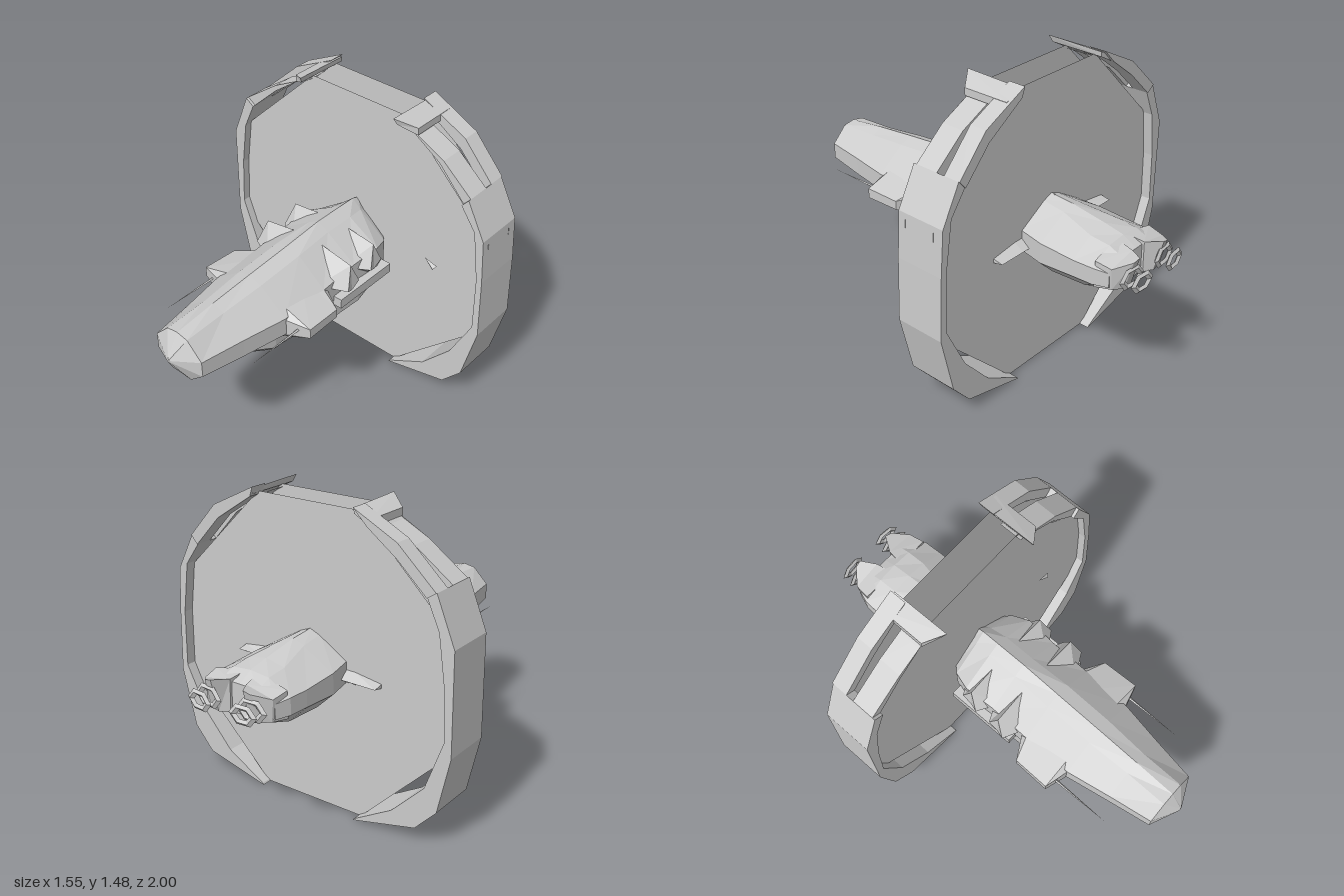
import * as THREE from 'three';

const grey = new THREE.MeshStandardMaterial({ color: 0xcccccc, flatShading: true, side: THREE.DoubleSide });

function add(parent, name, geometry, x = 0, y = 0, z = 0) {
  const mesh = new THREE.Mesh(geometry, grey);
  mesh.name = name;
  mesh.position.set(x, y, z);
  parent.add(mesh);
  return mesh;
}

// Skin a row of equal-sized point loops and close both ends.
function loft(loops) {
  const n = loops[0].length;
  const index = [];
  for (let s = 0; s < loops.length - 1; s++) {
    for (let i = 0; i < n; i++) {
      const a = s * n + i, b = s * n + (i + 1) % n;
      index.push(a, b, a + n, b, b + n, a + n);
    }
  }
  const last = (loops.length - 1) * n;
  for (let i = 1; i < n - 1; i++) index.push(0, i + 1, i, last, last + i, last + i + 1);
  const geo = new THREE.BufferGeometry();
  geo.setAttribute('position', new THREE.Float32BufferAttribute(loops.flat(2), 3));
  geo.setIndex(index);
  const flat = geo.toNonIndexed();
  flat.computeVertexNormals();
  return flat;
}

// Mirrored hull section: z, top, roof half width and height,
// side half width with its upper and lower heights, floor half width, bottom.
function section([z, top, rw, ry, w, y1, y2, bw, bottom]) {
  const right = [[rw, ry], [w, y1], [w, y2], [bw, bottom]];
  return [
    [0, top, z], ...right.map(([x, y]) => [x, y, z]),
    ...right.reverse().map(([x, y]) => [-x, y, z]),
  ];
}
const hull = (rows) => loft(rows.map(section));

// Curved beam of the ring: stations are outer x, y and inner x, y.
function beam(stations, side, back, front) {
  return loft(stations.map(([ox, oy, ix, iy]) => [
    [side * ox, oy, back], [side * ox, oy, front],
    [side * ix, iy, front], [side * ix, iy, back],
  ]));
}

export function createModel() {
  const model = new THREE.Group();

  // Two octagonal membranes stretched across the ring
  const octagon = new THREE.Shape([
    [-0.28, 0.005], [0.28, 0.005], [0.755, 0.47], [0.755, 0.99],
    [0.28, 1.455], [-0.28, 1.455], [-0.755, 0.99], [-0.755, 0.47],
  ].map(([x, y]) => new THREE.Vector2(x, y)));
  add(model, 'frontMembrane', new THREE.ShapeGeometry(octagon), 0, 0, -0.24);
  add(model, 'rearMembrane', new THREE.ShapeGeometry(octagon), 0, 0, -0.4);

  // Forward hull
  add(model, 'forwardHull', hull([
    [1.0, 0.715, 0.006, 0.71, 0.008, 0.705, 0.70, 0.004, 0.695],
    [0.935, 0.82, 0.06, 0.81, 0.14, 0.73, 0.65, 0.06, 0.58],
    [0.72, 0.845, 0.06, 0.82, 0.175, 0.73, 0.64, 0.08, 0.60],
    [0.5, 0.865, 0.07, 0.84, 0.215, 0.73, 0.64, 0.1, 0.58],
    [0.25, 0.885, 0.07, 0.86, 0.22, 0.74, 0.64, 0.13, 0.56],
    [0.04, 0.905, 0.06, 0.87, 0.22, 0.76, 0.62, 0.16, 0.55],
    [-0.12, 0.905, 0.06, 0.87, 0.23, 0.77, 0.62, 0.16, 0.55],
    [-0.21, 0.905, 0.05, 0.86, 0.2, 0.75, 0.62, 0.14, 0.55],
    [-0.25, 0.89, 0.04, 0.84, 0.16, 0.74, 0.62, 0.12, 0.56],
  ]));

  // Belly keel and the chin fin in front of it
  add(model, 'keel', hull([
    [0.29, 0.62, 0.1, 0.61, 0.15, 0.6, 0.54, 0.09, 0.5],
    [0.23, 0.63, 0.12, 0.62, 0.21, 0.6, 0.52, 0.13, 0.45],
    [0.0, 0.63, 0.12, 0.62, 0.22, 0.6, 0.52, 0.12, 0.44],
    [-0.13, 0.63, 0.12, 0.62, 0.2, 0.6, 0.54, 0.12, 0.455],
    [-0.24, 0.63, 0.12, 0.62, 0.17, 0.6, 0.54, 0.1, 0.48],
  ]));
  add(model, 'chinFin', hull([
    [0.76, 0.62, 0.04, 0.61, 0.05, 0.6, 0.595, 0.04, 0.585],
    [0.45, 0.61, 0.1, 0.6, 0.1, 0.58, 0.45, 0.07, 0.42],
    [0.28, 0.6, 0.11, 0.59, 0.09, 0.55, 0.44, 0.08, 0.408],
    [0.36, 0.6, 0.09, 0.59, 0.06, 0.56, 0.52, 0.04, 0.5],
  ]));

  // Neck between the membranes
  add(model, 'neck', hull([
    [-0.2, 0.89, 0.04, 0.85, 0.17, 0.74, 0.64, 0.1, 0.58],
    [-0.3, 0.88, 0.03, 0.84, 0.09, 0.74, 0.65, 0.08, 0.6],
    [-0.42, 0.87, 0.05, 0.84, 0.18, 0.74, 0.64, 0.1, 0.6],
  ]));

  // Tail hull with a thin cross wing against the rear membrane
  add(model, 'tailHull', hull([
    [-0.39, 0.87, 0.05, 0.85, 0.2, 0.76, 0.66, 0.12, 0.62],
    [-0.52, 0.86, 0.06, 0.84, 0.22, 0.75, 0.65, 0.13, 0.565],
    [-0.7, 0.83, 0.1, 0.81, 0.22, 0.74, 0.66, 0.12, 0.565],
    [-0.8, 0.81, 0.1, 0.8, 0.215, 0.74, 0.66, 0.12, 0.6],
    [-0.87, 0.77, 0.1, 0.77, 0.19, 0.73, 0.66, 0.1, 0.63],
  ]));
  add(model, 'tailWing', loft([[-0.39, 0.01], [-0.25, 0.03], [0.25, 0.03], [0.39, 0.01]].map(([x, h]) => [
    [x, 0.69 + h, -0.4], [x, 0.69, -0.45], [x, 0.69 - h, -0.4],
  ])));

  for (const s of [-1, 1]) {
    const side = new THREE.Group();
    side.name = s > 0 ? 'leftHullParts' : 'rightHullParts';
    model.add(side);

    // Swept stub wing along the flank
    add(side, 'stubWing', loft([
      [0.5, 0.2, 0.72, 0.63], [0.465, 0.33, 0.71, 0.66],
      [0.28, 0.325, 0.705, 0.66], [0.21, 0.2, 0.72, 0.62],
    ].map(([z, x, top, low]) => [
      [s * 0.1, 0.78, z], [s * x, top, z], [s * x, low, z], [s * 0.1, 0.57, z],
    ])));
    // Needle gun
    const gun = add(side, 'needleGun', new THREE.ConeGeometry(0.007, 0.3, 4), s * 0.27, 0.685, 0.62);
    gun.rotation.x = Math.PI / 2;

    // Faceted side blisters
    for (const [z, x, y] of [[0.11, 0.29, 0.76], [-0.07, 0.275, 0.77]]) {
      add(side, 'sideBlister', loft([
        [[s * 0.08, 0.85, z], [s * 0.16, 0.72, z + 0.12], [s * 0.2, 0.64, z], [s * 0.16, 0.72, z - 0.1]],
        [[s * (x - 0.03), y + 0.06, z], [s * x, y - 0.05, z + 0.05], [s * (x - 0.02), y - 0.08, z], [s * (x - 0.02), y - 0.05, z - 0.05]],
      ]));
    }
    // Lower side ledge
    add(side, 'sideLedge', new THREE.BoxGeometry(0.1, 0.05, 0.36), s * 0.215, 0.635, 0.0);

    // Forked tail prong
    add(side, 'tailProng', loft([
      [[s * 0.03, 0.8, -0.78], [s * 0.2, 0.77, -0.8], [s * 0.2, 0.64, -0.8], [s * 0.03, 0.61, -0.78]],
      [[s * 0.045, 0.785, -0.88], [s * 0.19, 0.755, -0.88], [s * 0.18, 0.65, -0.88], [s * 0.05, 0.63, -0.88]],
      [[s * 0.09, 0.795, -0.95], [s * 0.125, 0.785, -0.945], [s * 0.13, 0.645, -0.91], [s * 0.09, 0.635, -0.91]],
    ]));
    // Pair of floating exhaust rings
    for (const [z, r] of [[-0.935, 0.06], [-0.988, 0.052]]) {
      const ring = add(side, 'exhaustRing', new THREE.TorusGeometry(r, 0.02, 4, 6), s * 0.12, 0.708, z);
      ring.scale.set(1, 0.72, 0.5);
      ring.rotation.y = -s * 0.08;
    }

    // Half of the ring: solid side, split upper rails
    const half = new THREE.Group();
    half.name = s > 0 ? 'leftRingHalf' : 'rightRingHalf';
    model.add(half);
    const top = s > 0
      ? [[0.265, 1.485, 0.28, 1.44], [0.5, 1.37, 0.48, 1.31], [0.655, 1.2, 0.62, 1.16]]
      : [[0.28, 1.48, 0.35, 1.41], [0.5, 1.37, 0.5, 1.3], [0.69, 1.195, 0.645, 1.165]];
    const flank = s > 0
      ? [[0.75, 1.02, 0.7, 1.05], [0.765, 0.8, 0.735, 0.8], [0.775, 0.49, 0.74, 0.52], [0.705, 0.2, 0.63, 0.3]]
      : [[0.78, 0.97, 0.705, 1.03], [0.78, 0.75, 0.735, 0.8], [0.78, 0.48, 0.745, 0.55], [0.715, 0.2, 0.65, 0.3]];
    const foot = [[0.605, 0.085, 0.48, 0.13], [0.27, 0.004, 0.275, 0.012]];
    add(half, 'ringSide', beam([top[2], ...flank, ...foot], s, -0.45, -0.2));
    add(half, 'upperRearRail', beam(top, s, -0.455, -0.37));
    add(half, 'upperFrontRail', beam(top.map(([a, b, c, d], i) => [a, b - (i < 2 ? 0.04 : 0), c, d]), s, -0.33, -0.215));
    // Pointed cap joining both rails
    add(half, 'ringHorn', loft([
      [[s * 0.27, 1.482, -0.145], [s * 0.28, 1.45, -0.16], [s * 0.275, 1.45, -0.44], [s * 0.272, 1.475, -0.44]],
      [[s * 0.36, 1.44, -0.21], [s * 0.36, 1.405, -0.21], [s * 0.36, 1.405, -0.44], [s * 0.36, 1.44, -0.44]],
    ]));
  }

  // Loose shard in front of the membrane
  const shard = add(model, 'shard', new THREE.ConeGeometry(0.024, 0.07, 3), 0.455, 0.735, -0.23);
  shard.rotation.z = 0.95;
  shard.scale.z = 0.4;

  return model;
}
